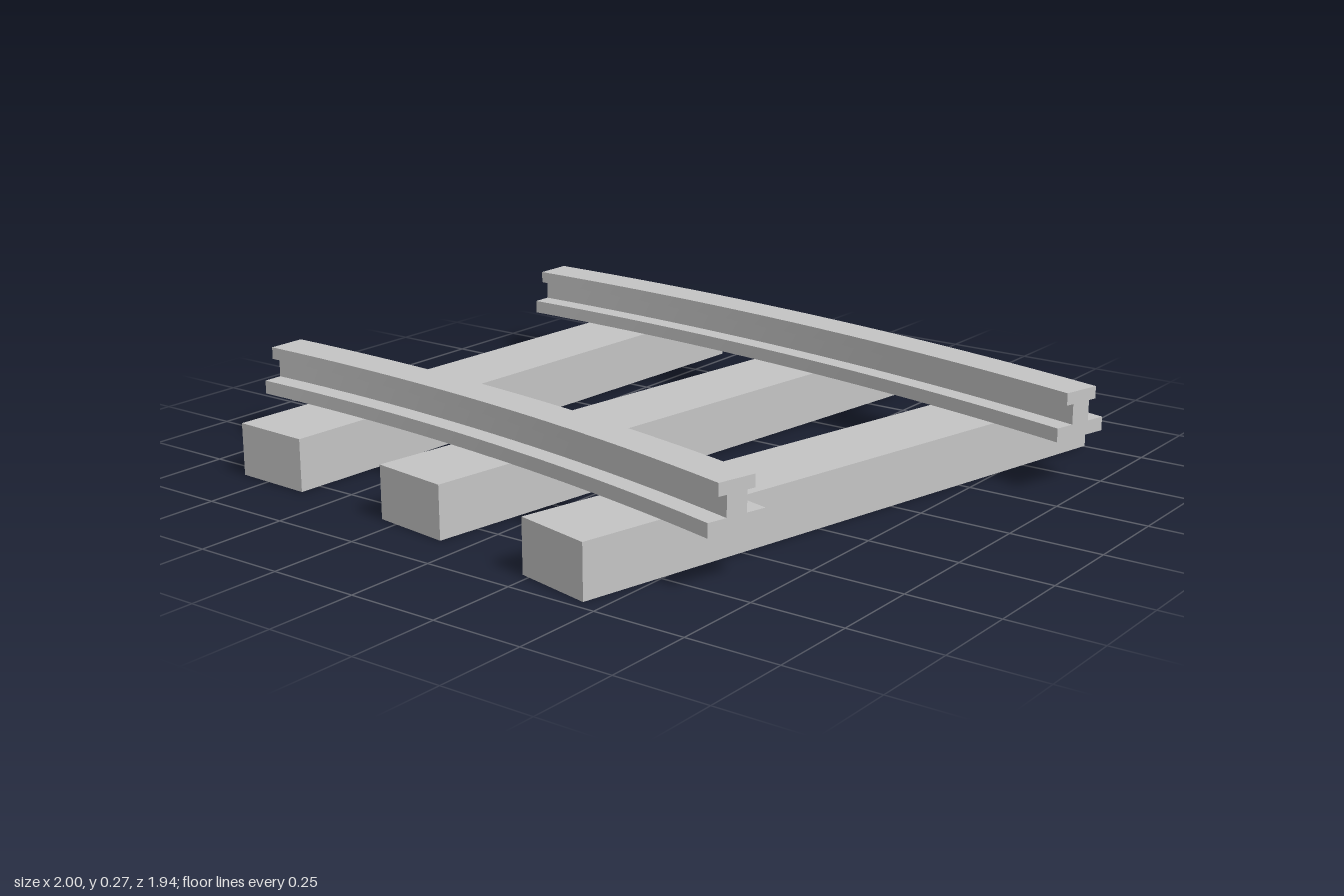
import * as THREE from 'three';
import { toCreasedNormals } from 'three/addons/utils/BufferGeometryUtils.js';

const ARC = THREE.MathUtils.degToRad(15);
const BED = 0.143;      // height of the sleepers
const CENTRE_Z = 6.977; // centre of the curve, at x = -1

// I-shaped rail section swept along the arc; radius is the middle of the rail
function railGeometry(radius) {
  const half = [
    [0.085, BED], [0.085, 0.18], [0.03, 0.18],
    [0.03, 0.235], [0.054, 0.235], [0.054, 0.268],
  ];
  const left = half.map(([x, y]) => [-x, y]).reverse();
  const section = new THREE.Shape(
    [...half, ...left].map(([x, y]) => new THREE.Vector2(radius + x, y)));
  const geometry = new THREE.ExtrudeGeometry(section, { depth: 1, steps: 20, bevelEnabled: false });

  // Bend the straight extrusion: depth becomes the angle along the curve
  const p = geometry.attributes.position;
  for (let i = 0; i < p.count; i++) {
    const r = p.getX(i);
    const a = p.getZ(i) * ARC;
    p.setXYZ(i, r * Math.sin(a), p.getY(i), -r * Math.cos(a));
  }
  return toCreasedNormals(geometry, 0.5);
}

export function createModel() {
  const model = new THREE.Group();
  model.name = 'curvedTrack';
  const grey = new THREE.MeshStandardMaterial({ color: 0xc4c4c4 });
  grey.name = 'grey';

  // Everything is laid out around the centre of the curve
  const curve = new THREE.Group();
  curve.name = 'curve';
  curve.position.set(-1, 0, CENTRE_Z);
  model.add(curve);

  // Rails
  for (const [name, radius] of [['outerRail', 7.642], ['innerRail', 6.492]]) {
    const rail = new THREE.Mesh(railGeometry(radius), grey);
    rail.name = name;
    curve.add(rail);
  }

  // Sleepers, each pointing at the centre
  const sleeperGeometry = new THREE.BoxGeometry(0.225, BED, 1.767);
  [1, 3, 5].forEach((sixth, i) => {
    const a = (ARC * sixth) / 6;
    const sleeper = new THREE.Mesh(sleeperGeometry, grey);
    sleeper.name = `sleeper${i + 1}`;
    sleeper.position.set(7.06 * Math.sin(a), BED / 2, -7.06 * Math.cos(a));
    sleeper.rotation.y = -a;
    curve.add(sleeper);
  });

  return model;
}
